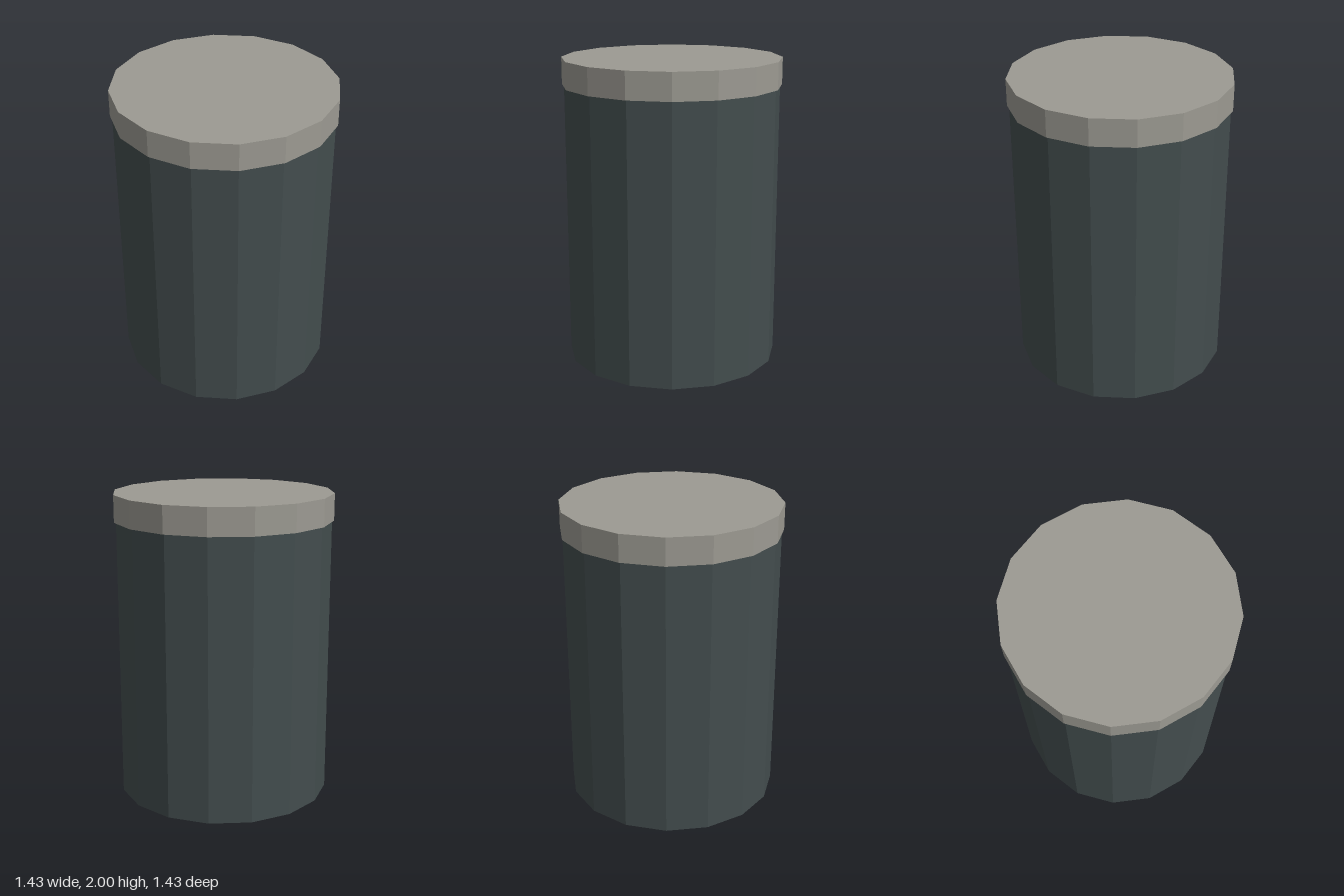
import * as THREE from 'three';

const SIDES = 16;

// Faceted drum standing between two heights
function drum(name, radius, bottom, top, color) {
  const mesh = new THREE.Mesh(
    new THREE.CylinderGeometry(radius, radius, top - bottom, SIDES),
    new THREE.MeshStandardMaterial({ color, flatShading: true })
  );
  mesh.position.y = (bottom + top) / 2;
  mesh.name = name;
  return mesh;
}

export function createModel() {
  const group = new THREE.Group();
  group.name = 'canister';
  // Dark container body
  group.add(drum('body', 0.7, 0, 1.825, 0x434d4e));
  // Slightly wider pale lid
  group.add(drum('lid', 0.713, 1.825, 2, 0x9c9a92));
  return group;
}
